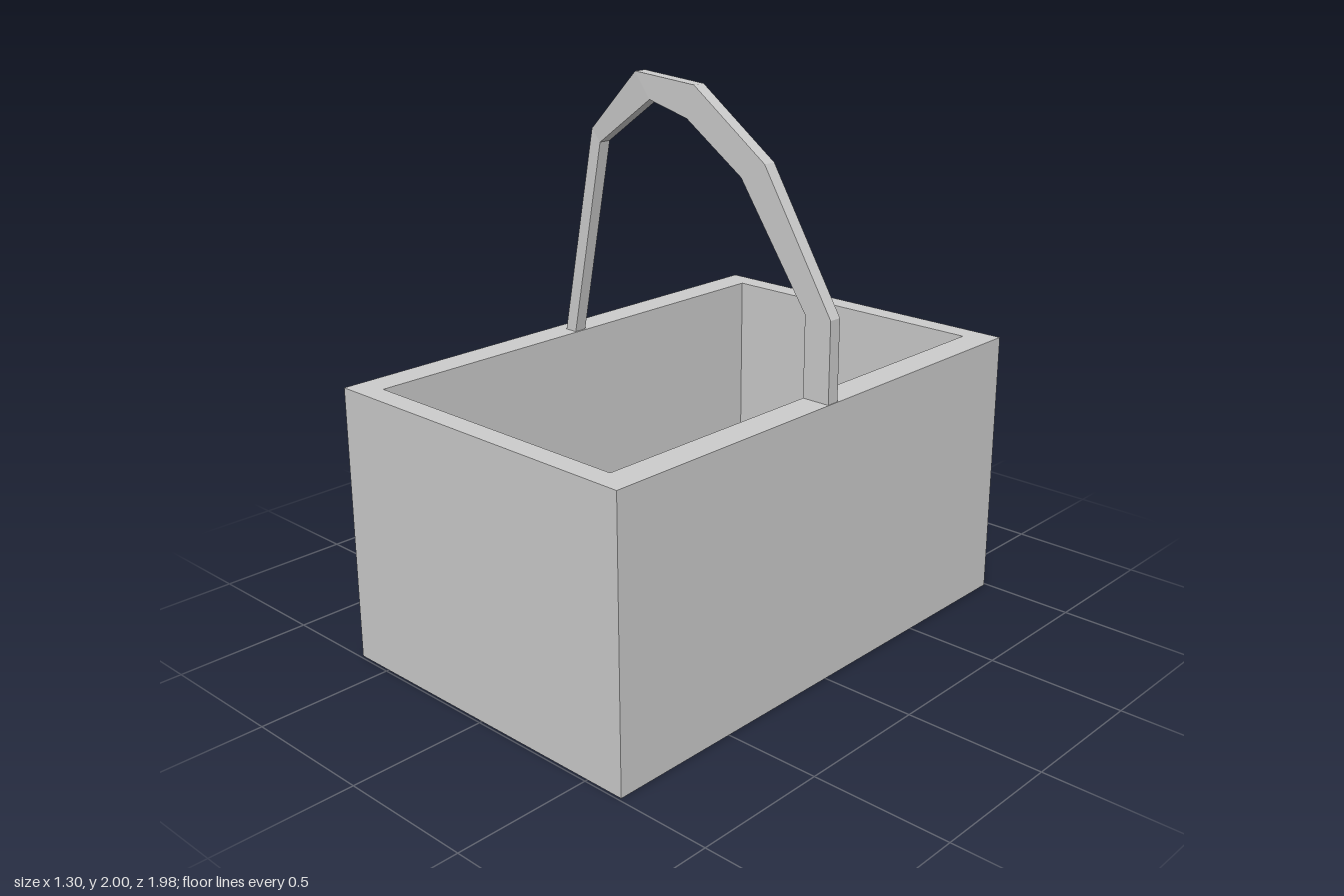
import * as THREE from 'three';

const material = new THREE.MeshStandardMaterial({ color: 0xcccccc, flatShading: true });

const HALF_X = 0.648, HALF_Z = 0.99, RIM_Y = 1.005;
const INNER_X = 0.54, INNER_Z = 0.91, FLOOR_Y = 0.19;

function addMesh(group, name, geometry) {
  const mesh = new THREE.Mesh(geometry, material);
  mesh.name = name;
  group.add(mesh);
  return mesh;
}

function rectangle(target, hx, hz) {
  target.moveTo(-hx, -hz);
  target.lineTo(hx, -hz);
  target.lineTo(hx, hz);
  target.lineTo(-hx, hz);
  target.closePath();
  return target;
}

// Extruded ring of walls, open at the top
function wallsGeometry() {
  const shape = rectangle(new THREE.Shape(), HALF_X, HALF_Z);
  shape.holes.push(rectangle(new THREE.Path(), INNER_X, INNER_Z));
  const geometry = new THREE.ExtrudeGeometry(shape, { depth: RIM_Y, bevelEnabled: false });
  return geometry.rotateX(-Math.PI / 2);
}

// Angular band lofted through four-cornered sections
function handleGeometry() {
  // outer x, outer y, inner x, inner y, z centre
  const sections = [
    [-0.597, RIM_Y, -0.547, RIM_Y, 0],
    [-0.455, 1.775, -0.415, 1.73, -0.015],
    [-0.222, 2.0, -0.155, 1.91, 0],
    [0.05, 1.98, 0.018, 1.865, 0],
    [0.36, 1.757, 0.26, 1.7, 0],
    [0.645, 1.29, 0.54, 1.29, 0],
    [0.645, RIM_Y, 0.54, RIM_Y, 0],
  ];
  const half = 0.024;
  const positions = [];
  for (const [ox, oy, ix, iy, z] of sections) {
    positions.push(ox, oy, z + half, ox, oy, z - half, ix, iy, z - half, ix, iy, z + half);
  }
  const index = [];
  const quad = (a, b, c, d) => index.push(a, b, c, a, c, d);
  for (let s = 0; s < sections.length - 1; s++) {
    for (let k = 0; k < 4; k++) {
      const a = s * 4 + k, b = s * 4 + (k + 1) % 4;
      quad(a, a + 4, b + 4, b);
    }
  }
  const last = (sections.length - 1) * 4;
  quad(0, 1, 2, 3);
  quad(last + 3, last + 2, last + 1, last);
  const geometry = new THREE.BufferGeometry();
  geometry.setAttribute('position', new THREE.Float32BufferAttribute(positions, 3));
  geometry.setIndex(index);
  const flat = geometry.toNonIndexed();
  flat.computeVertexNormals();
  return flat;
}

export function createModel() {
  const basket = new THREE.Group();
  basket.name = 'basket';

  addMesh(basket, 'walls', wallsGeometry());

  // Thick floor filling the bottom of the walls
  const floor = new THREE.BoxGeometry(2 * INNER_X, FLOOR_Y, 2 * INNER_Z);
  addMesh(basket, 'floor', floor.translate(0, FLOOR_Y / 2, 0));

  addMesh(basket, 'handle', handleGeometry());
  return basket;
}
